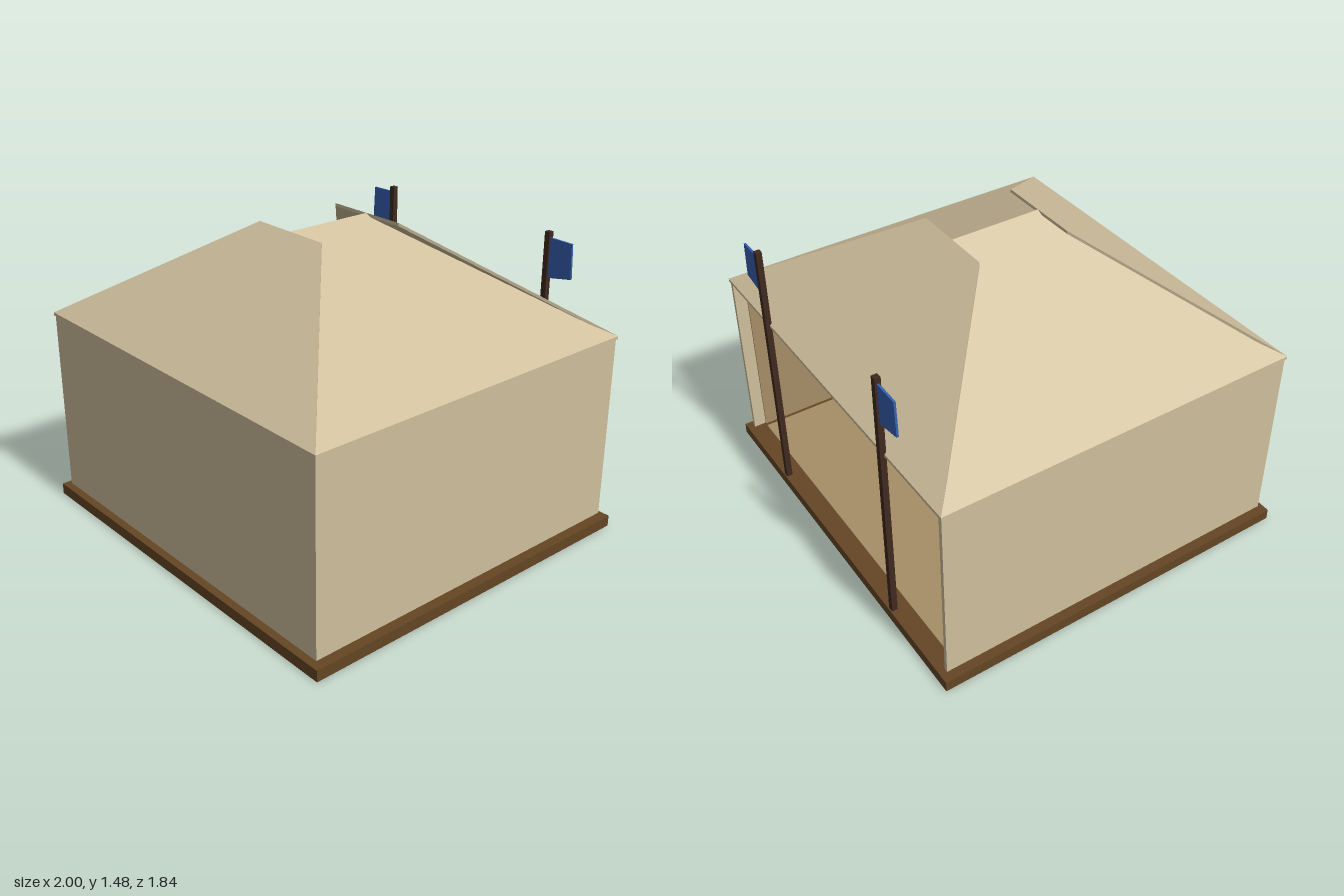
import * as THREE from 'three';

const material = (name, color) => {
  const m = new THREE.MeshStandardMaterial({ color });
  m.name = name;
  return m;
};

export function createModel() {
  const group = new THREE.Group();
  const canvas = material('canvas', 0xcfbf9c);
  const lining = material('lining', 0xa68e67);
  const timber = material('timber', 0x654624);
  const poleWood = material('pole wood', 0x40291f);
  const flagBlue = material('flag blue', 0x3660b2);

  const add = (name, geometry, mat) => {
    const mesh = new THREE.Mesh(geometry, mat);
    mesh.name = name;
    group.add(mesh);
    return mesh;
  };

  // Box given by its minimum and maximum corners
  const box = (name, mat, [x0, y0, z0], [x1, y1, z1]) => {
    const g = new THREE.BoxGeometry(x1 - x0, y1 - y0, z1 - z0);
    g.translate((x0 + x1) / 2, (y0 + y1) / 2, (z0 + z1) / 2);
    return add(name, g, mat);
  };

  // Sheet with four corners (counter-clockwise from outside) and a thickness vector
  const sheet = (name, mat, corners, offset) => {
    const top = corners.map((c) => new THREE.Vector3(...c));
    const low = top.map((c) => c.clone().add(new THREE.Vector3(...offset)));
    const points = [];
    const quad = (a, b, c, d) => points.push(a, b, c, a, c, d);
    quad(...top);
    quad(low[3], low[2], low[1], low[0]);
    for (let i = 0; i < 4; i++) {
      const j = (i + 1) % 4;
      quad(top[i], low[i], low[j], top[j]);
    }
    const g = new THREE.BufferGeometry().setFromPoints(points);
    g.computeVertexNormals();
    return add(name, g, mat);
  };

  // Base and floor mat
  box('base', timber, [-1, 0, -0.92], [1, 0.055, 0.92]);
  box('floorMat', lining, [-0.92, 0.055, -0.83], [0.92, 0.061, 0.85]);

  // Canvas walls with an inner lining; the back stays open
  const X = 0.96, Z = 0.89, bottom = 0.065, top = 0.975;
  box('frontWall', canvas, [-X, bottom, Z - 0.02], [X, top, Z]);
  box('frontLining', lining, [-X + 0.028, bottom, Z - 0.028], [X - 0.028, 0.955, Z - 0.02]);
  for (const [side, s] of [['left', 1], ['right', -1]]) {
    const span = (a, b) => (s > 0 ? [a, b] : [-b, -a]);
    const [w0, w1] = span(X - 0.02, X);
    box(side + 'Wall', canvas, [w0, bottom, -Z], [w1, top, Z - 0.02]);
    const [l0, l1] = span(X - 0.028, X - 0.02);
    box(side + 'Lining', lining, [l0, bottom, -Z + 0.06], [l1, 0.955, Z - 0.028]);
  }

  // Roof: the side sheets meet at a ridge, the end sheets rise past them as flared ears
  const eaveX = 0.967, eaveZ = 0.895, eaveY = 0.985, ridgeY = 1.475, ridgeZ = 0.225, earX = 0.215;
  const drop = [0, -0.015, 0];
  for (const s of [1, -1]) {
    sheet(s > 0 ? 'frontRoof' : 'backRoof', canvas, [
      [-s * eaveX, eaveY, s * eaveZ], [s * eaveX, eaveY, s * eaveZ],
      [s * earX, ridgeY, s * ridgeZ], [-s * earX, ridgeY, s * ridgeZ],
    ], drop);
    sheet(s > 0 ? 'leftRoof' : 'rightRoof', canvas, [
      [s * eaveX, eaveY, s * eaveZ], [s * eaveX, eaveY, -s * eaveZ],
      [0, ridgeY, -s * ridgeZ], [0, ridgeY, s * ridgeZ],
    ], drop);
  }

  // Flag poles at the open back, flags pointing outwards
  for (const [side, s] of [['left', 1], ['right', -1]]) {
    const px = s * 0.525;
    box(side + 'Pole', poleWood, [px - 0.014, 0.055, -0.914], [px + 0.014, 1.375, -0.886]);
    const flag = [
      [s * 0.538, 1.15, -0.895], [s * 0.673, 1.175, -0.895],
      [s * 0.665, 1.345, -0.895], [s * 0.538, 1.347, -0.895],
    ];
    sheet(side + 'Flag', flagBlue, s > 0 ? flag : flag.reverse(), [0, 0, -0.01]);
  }

  return group;
}
